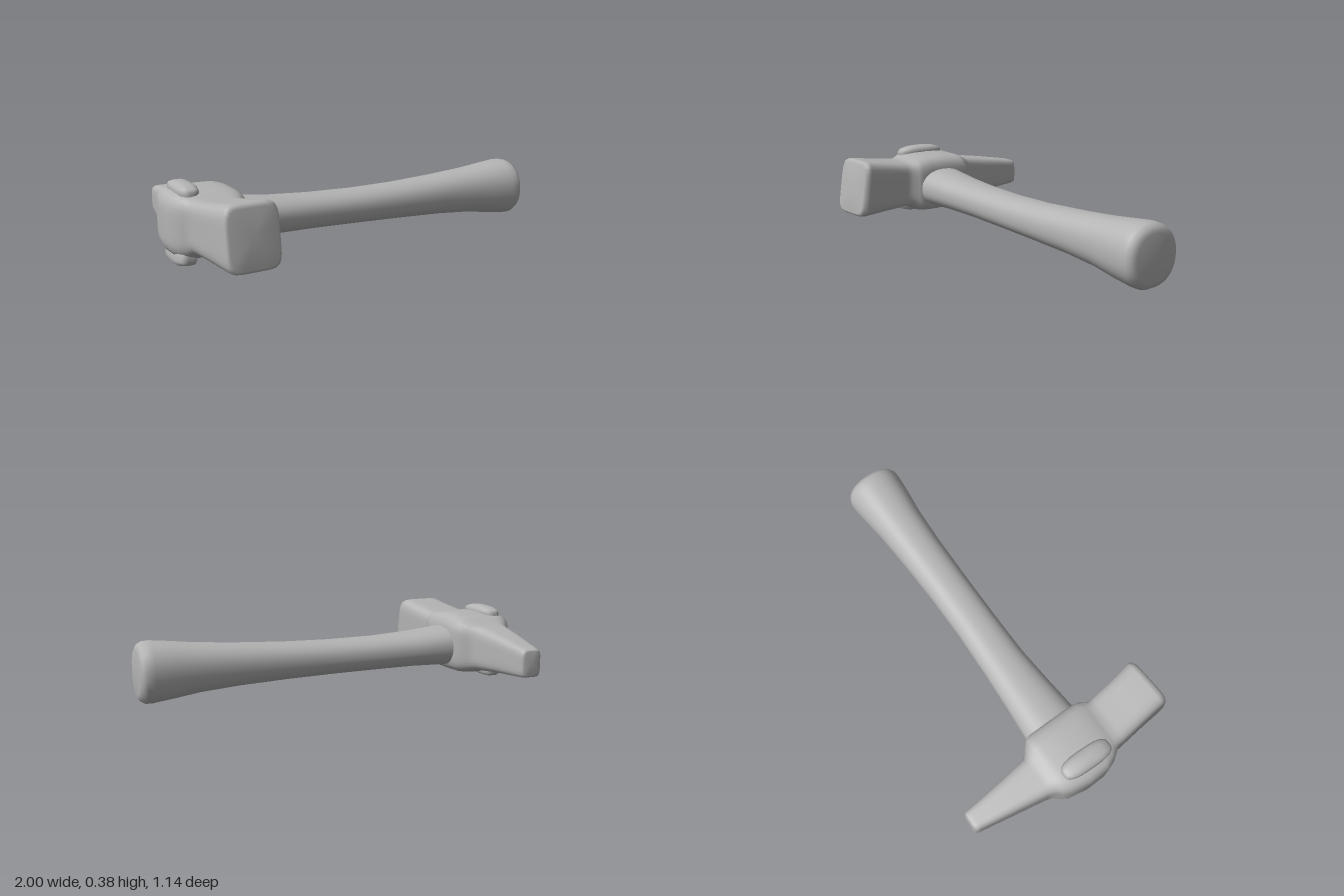
import * as THREE from 'three';

// Lofts rounded-rectangle sections [position, uMin, uMax, vMin, vMax, squareness] along an axis.
// Axis x uses (u,v) = (y,z), axis y uses (z,x), axis z uses (x,y).
function loft(sections, axis, bend) {
  const SEG = 48, pos = [], idx = [];
  const mid = ([p, a, b, c, d, n]) => [p, (a + b) / 2, (a + b) / 2, (c + d) / 2, (c + d) / 2, n];
  const rows = [mid(sections[0]), ...sections, mid(sections[sections.length - 1])];
  for (const [p, u0, u1, v0, v1, n] of rows) {
    for (let i = 0; i < SEG; i++) {
      const t = (i / SEG) * Math.PI * 2, c = Math.cos(t), s = Math.sin(t);
      const r = (Math.abs(c) ** n + Math.abs(s) ** n) ** (-1 / n);
      const u = (u0 + u1) / 2 + (u1 - u0) / 2 * c * r;
      const v = (v0 + v1) / 2 + (v1 - v0) / 2 * s * r;
      const q = axis === 'x' ? [p, u, v] : axis === 'y' ? [v, p, u] : [u, v, p];
      if (bend) bend(q);
      pos.push(...q);
    }
  }
  for (let j = 0; j < rows.length - 1; j++) {
    for (let i = 0; i < SEG; i++) {
      const k = (i + 1) % SEG, a = j * SEG + i, b = j * SEG + k, c = a + SEG, d = b + SEG;
      if (j > 0) idx.push(a, b, d);
      if (j < rows.length - 2) idx.push(a, d, c);
    }
  }
  const g = new THREE.BufferGeometry();
  g.setAttribute('position', new THREE.Float32BufferAttribute(pos, 3));
  g.setIndex(idx);
  g.computeVertexNormals();
  return g;
}

export function createModel() {
  const group = new THREE.Group();
  const grey = new THREE.MeshStandardMaterial({ color: 0xb4b4b4 });
  grey.name = 'grey';
  const add = (name, geometry) => {
    const mesh = new THREE.Mesh(geometry, grey);
    mesh.name = name;
    group.add(mesh);
  };

  // Head: tapered peen at the back, swollen eye, square striking block with a slanted face
  add('hammerHead', loft([
    [-0.572, -0.86, -0.78, 0.115, 0.235, 5],
    [-0.565, -0.873, -0.768, 0.107, 0.243, 5],
    [-0.54, -0.877, -0.765, 0.102, 0.25, 5],
    [-0.35, -0.907, -0.742, 0.088, 0.283, 5],
    [-0.2, -0.93, -0.722, 0.072, 0.305, 5],
    [-0.165, -0.94, -0.69, 0.066, 0.313, 5],
    [-0.135, -0.965, -0.65, 0.056, 0.332, 5],
    [-0.1, -0.985, -0.642, 0.05, 0.344, 5],
    [0, -1, -0.64, 0.045, 0.355, 5],
    [0.1, -0.995, -0.638, 0.045, 0.354, 5],
    [0.155, -0.975, -0.638, 0.05, 0.348, 5],
    [0.185, -0.952, -0.645, 0.062, 0.338, 5],
    [0.21, -0.932, -0.667, 0.082, 0.331, 6],
    [0.25, -0.927, -0.667, 0.085, 0.333, 6],
    [0.4, -0.907, -0.65, 0.08, 0.352, 6],
    [0.535, -0.892, -0.628, 0.074, 0.372, 6],
    [0.56, -0.887, -0.63, 0.078, 0.369, 6],
    [0.573, -0.872, -0.645, 0.092, 0.353, 6],
  ], 'z', (q) => {
    const k = Math.max(0, (q[2] - 0.21) / 0.36);
    q[2] -= k * (0.15 * (q[1] - 0.08) + 0.08 * (q[0] + 0.89));
  }));

  // Handle: slim waist, flaring to a rounded butt
  add('handle', loft([
    [-0.8, 0.075, 0.295, -0.115, 0.175, 2.3],
    [-0.63, 0.08, 0.285, -0.113, 0.17, 2.3],
    [-0.45, 0.084, 0.267, -0.1, 0.152, 2.3],
    [-0.25, 0.082, 0.256, -0.09, 0.135, 2.3],
    [0, 0.077, 0.252, -0.083, 0.13, 2.3],
    [0.25, 0.07, 0.257, -0.087, 0.128, 2.3],
    [0.5, 0.06, 0.27, -0.1, 0.127, 2.3],
    [0.7, 0.045, 0.285, -0.115, 0.133, 2.3],
    [0.83, 0.026, 0.3, -0.13, 0.146, 2.3],
    [0.93, 0.012, 0.311, -0.142, 0.153, 2.2],
    [0.965, 0.012, 0.308, -0.142, 0.153, 2.2],
    [0.987, 0.024, 0.296, -0.132, 0.142, 2.2],
    [1, 0.05, 0.27, -0.105, 0.115, 2.2],
  ], 'x'));

  // Oval lugs above and below the eye
  add('topLug', loft([
    [0.3, -0.1, 0.165, -0.948, -0.848, 3],
    [0.355, -0.1, 0.168, -0.95, -0.846, 3],
    [0.37, -0.088, 0.155, -0.946, -0.85, 3],
    [0.38, -0.055, 0.125, -0.935, -0.86, 3],
    [0.386, 0, 0.09, -0.918, -0.878, 3],
  ], 'y'));
  add('bottomLug', loft([
    [0.004, -0.05, 0.05, -0.945, -0.898, 3],
    [0.01, -0.075, 0.12, -0.963, -0.88, 3],
    [0.022, -0.088, 0.16, -0.973, -0.871, 3],
    [0.04, -0.09, 0.175, -0.975, -0.869, 3],
    [0.1, -0.09, 0.172, -0.973, -0.87, 3],
  ], 'y'));
  return group;
}
